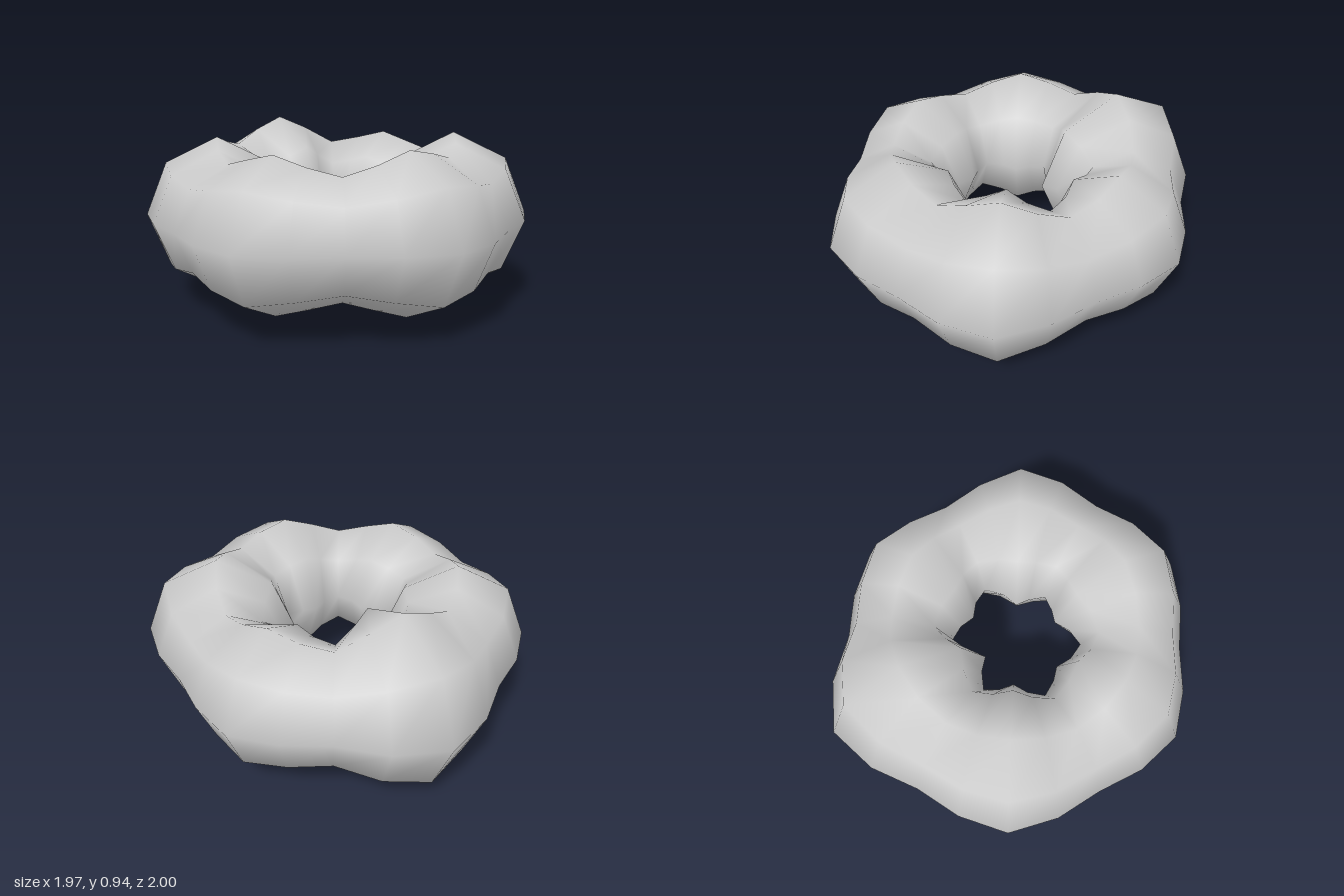
import * as THREE from 'three';
import { mergeVertices } from 'three/addons/utils/BufferGeometryUtils.js';

const RING = 0.625; // radius of the ring's centre line
const UNIT = 0.1;   // tube radius before swelling

// Tube radius every 15 degrees, starting at +x and turning towards +z: six lobes
const TUBE = [
  0.335, 0.405, 0.363, 0.31, // front left lobe
  0.348, 0.378, 0.32, 0.27,  // front lobe
  0.311, 0.361, 0.324, 0.285, // front right lobe
  0.335, 0.385, 0.345, 0.31, // back right lobe
  0.382, 0.445, 0.375, 0.285, // back lobe
  0.315, 0.355, 0.307, 0.273, // back left lobe
];

function lumpyRing() {
  let geo = new THREE.TorusGeometry(RING, UNIT, 8, TUBE.length);
  geo.deleteAttribute('uv');
  geo.deleteAttribute('normal');
  geo = mergeVertices(geo); // closes the seams so shading stays smooth
  geo.rotateX(Math.PI / 2);

  // Swell each cross-section to its own radius, slightly taller than wide
  const pos = geo.attributes.position;
  const n = TUBE.length;
  for (let i = 0; i < pos.count; i++) {
    const x = pos.getX(i), z = pos.getZ(i);
    const a = Math.atan2(z, x);
    const r = TUBE[(Math.round((a / (2 * Math.PI)) * n) + n) % n];
    const out = (Math.hypot(x, z) - RING) / UNIT;
    const up = pos.getY(i) / UNIT;
    const d = RING + out * r;
    pos.setXYZ(i, Math.cos(a) * d, up * r + 0.025 * up ** 5, Math.sin(a) * d);
  }
  geo.computeVertexNormals();
  return geo;
}

export function createModel() {
  const group = new THREE.Group();
  group.name = 'lumpyRingModel';
  const ring = new THREE.Mesh(lumpyRing(), new THREE.MeshStandardMaterial({ color: 0xcccccc }));
  ring.name = 'lumpyRing';

  // Centre the ring and stand it on the ground
  ring.geometry.computeBoundingBox();
  const box = ring.geometry.boundingBox;
  const mid = box.getCenter(new THREE.Vector3());
  ring.position.set(-mid.x, -box.min.y, -mid.z);
  group.add(ring);
  return group;
}
